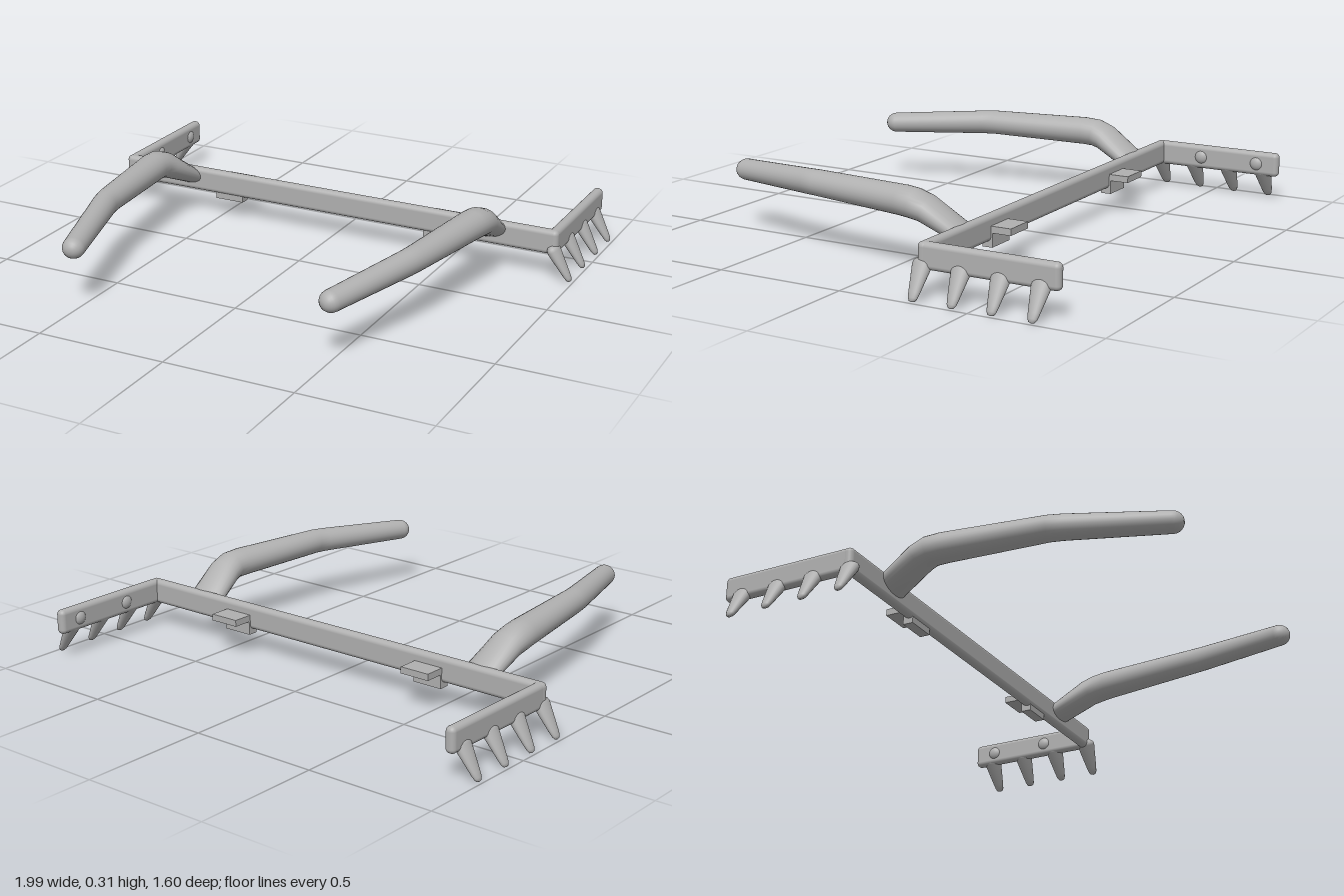
import * as THREE from 'three';
import { RoundedBoxGeometry } from 'three/addons/geometries/RoundedBoxGeometry.js';

// Loft of elliptical rings; each station is [x, y, z, halfWidth, halfHeight]
function loft(stations, sides = 28) {
  const pts = stations.map((s) => new THREE.Vector3(s[0], s[1], s[2]));
  const up = new THREE.Vector3(0, 1, 0);
  const pos = [], index = [];
  const last = pts.length - 1;
  pts.forEach((p, i) => {
    const before = i > 0 ? p.clone().sub(pts[i - 1]).normalize() : new THREE.Vector3();
    const after = i < last ? pts[i + 1].clone().sub(p).normalize() : new THREE.Vector3();
    const t = before.add(after).normalize();
    const u = new THREE.Vector3().crossVectors(up, t).normalize();
    const v = new THREE.Vector3().crossVectors(t, u);
    for (let j = 0; j < sides; j++) {
      const a = (j / sides) * Math.PI * 2;
      const q = p.clone()
        .addScaledVector(u, Math.cos(a) * stations[i][3])
        .addScaledVector(v, Math.sin(a) * stations[i][4]);
      pos.push(q.x, q.y, q.z);
    }
  });
  for (let i = 0; i < last; i++) {
    for (let j = 0; j < sides; j++) {
      const k = (j + 1) % sides;
      const a = i * sides + j, b = i * sides + k;
      index.push(a, b, a + sides, b, b + sides, a + sides);
    }
  }
  // close both ends
  const first = pos.length / 3;
  pos.push(...pts[0].toArray(), ...pts[last].toArray());
  for (let j = 0; j < sides; j++) {
    const k = (j + 1) % sides;
    index.push(first, k, j, first + 1, last * sides + j, last * sides + k);
  }
  const g = new THREE.BufferGeometry();
  g.setAttribute('position', new THREE.Float32BufferAttribute(pos, 3));
  g.setIndex(index);
  g.computeVertexNormals();
  return g;
}

export function createModel() {
  const model = new THREE.Group();
  model.name = 'rackFrame';
  const metal = new THREE.MeshStandardMaterial({ color: 0xb0b0b0 });
  metal.name = 'greyMetal';

  const add = (name, geometry, x = 0, y = 0, z = 0) => {
    const m = new THREE.Mesh(geometry, metal);
    m.name = name;
    m.position.set(x, y, z);
    model.add(m);
    return m;
  };

  // Cross bar
  add('crossBar', new RoundedBoxGeometry(1.87, 0.095, 0.04, 5, 0.018), 0, 0.148, -0.285);

  // Tapered, blunt prong profile
  const prongProfile = [[0, -0.142], [0.011, -0.139], [0.017, -0.129], [0.021, -0.11],
    [0.037, -0.012], [0.034, 0], [0.022, 0.01], [0, 0.014]].map(([r, y]) => new THREE.Vector2(r, y));
  const prongGeo = new THREE.LatheGeometry(prongProfile, 24);
  const domeGeo = new THREE.SphereGeometry(0.03, 20, 14);

  for (const s of [1, -1]) {
    const side = s > 0 ? 'left' : 'right';

    // Side arm running to the back
    add(side + 'SideArm', new RoundedBoxGeometry(0.04, 0.095, 0.535, 5, 0.018), s * 0.914, 0.148, -0.5325);

    // Row of prongs splayed outward
    for (let i = 0; i < 4; i++) {
      const prong = add(side + 'Prong' + (i + 1), prongGeo, s * 0.914, 0.125, -0.28 - i * 0.15);
      prong.scale.x = 0.65;
      prong.rotation.z = s * 0.55;
    }

    // Rivet heads on the inner face
    for (const z of [-0.47, -0.71]) {
      add(side + 'Rivet', domeGeo, s * 0.906, 0.148, z).scale.x = 0.75;
    }

    // Angle bracket behind the bar
    add(side + 'BracketPlate', new THREE.BoxGeometry(0.12, 0.075, 0.04), s * 0.455, 0.1175, -0.291);
    add(side + 'BracketFlange', new THREE.BoxGeometry(0.12, 0.025, 0.09), s * 0.455, 0.145, -0.34);

    // Curved handle with a rounded tip
    const stations = [
      [0.655, 0.155, -0.285, 0.073, 0.032],
      [0.677, 0.236, -0.145, 0.066, 0.05],
      [0.682, 0.25, -0.1, 0.063, 0.054],
      [0.677, 0.254, -0.05, 0.062, 0.054],
      [0.628, 0.257, 0.34, 0.049, 0.048],
      [0.617, 0.255, 0.39, 0.048, 0.047],
    ];
    const tip = new THREE.Vector3(0.51, 0.235, 0.755);
    const dir = tip.clone().sub(new THREE.Vector3(0.617, 0.255, 0.39)).normalize();
    for (let i = 0; i < 6; i++) {
      const a = (i / 6) * Math.PI / 2;
      const p = tip.clone().addScaledVector(dir, 0.041 * Math.sin(a));
      stations.push([p.x, p.y, p.z, 0.042 * Math.cos(a), 0.04 * Math.cos(a)]);
    }
    add(side + 'Handle', loft(stations.map(([x, ...rest]) => [s * x, ...rest])));
  }
  return model;
}
